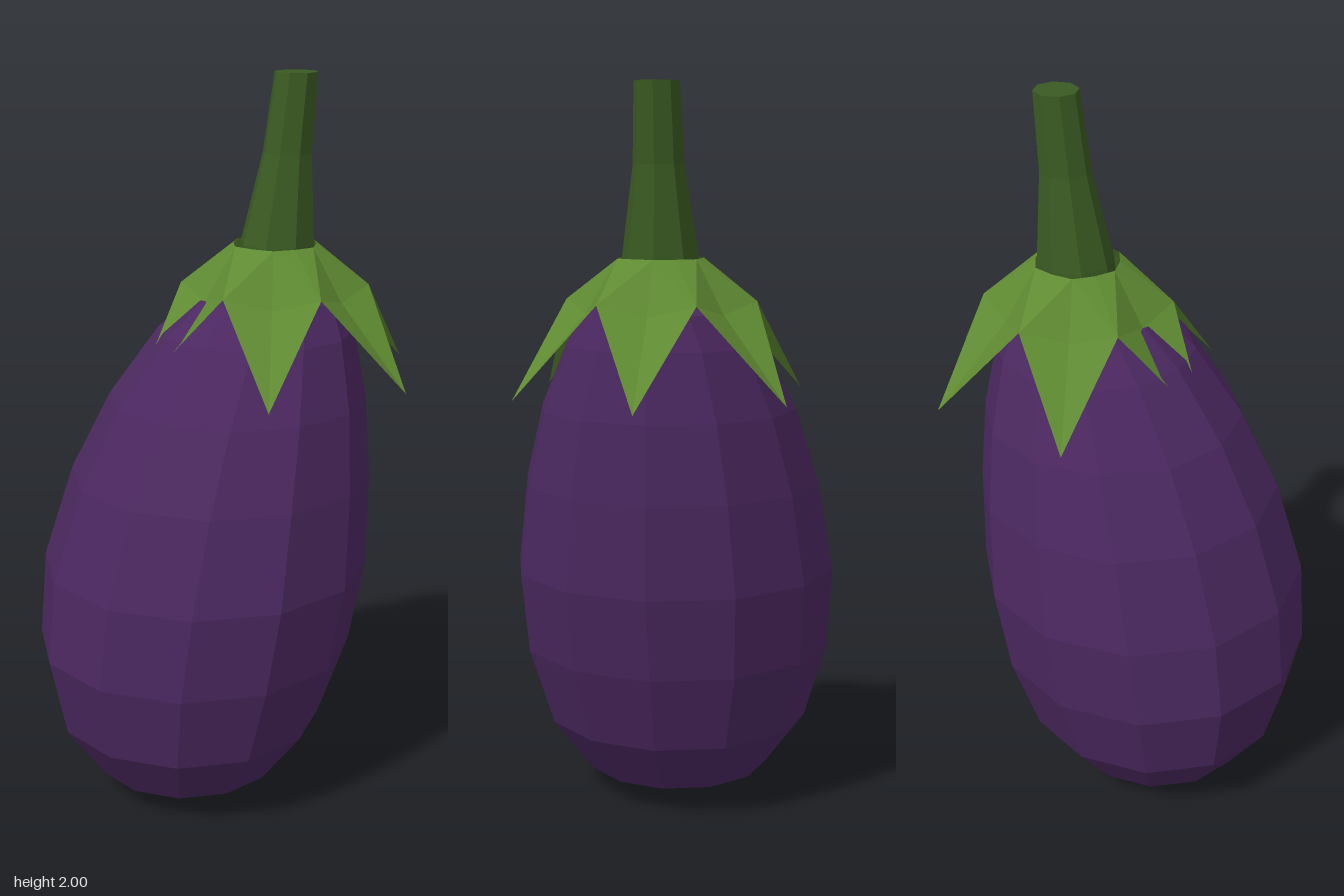
import * as THREE from 'three';

const flat = (color, side = THREE.FrontSide) =>
  new THREE.MeshStandardMaterial({ color, flatShading: true, side });

// Lathe through rings of [height, radius, x offset], leaning each ring sideways
function leaningLathe(rings, sides) {
  const geo = new THREE.LatheGeometry(rings.map(([y, r]) => new THREE.Vector2(r, y)), sides);
  const pos = geo.attributes.position;
  for (let i = 0; i < pos.count; i++) {
    pos.setX(i, pos.getX(i) + rings[i % rings.length][2]);
  }
  return geo;
}

// Six-pointed leafy cap: each leaf is creased inward along its middle
function calyxGeometry(leaves, cx) {
  const verts = [];
  const at = (angle, r, y) => [cx + r * Math.cos(angle), y, r * Math.sin(angle)];
  const tri = (a, b, c) => verts.push(...a, ...b, ...c);
  const half = Math.PI / leaves;
  for (let i = 0; i < leaves; i++) {
    const a = i * 2 * half;
    const top = at(a, 0.12, 1.55), rib = at(a, 0.21, 1.41), tip = at(a, 0.41, 1.19);
    for (const s of [-1, 1]) {
      const rim = at(a + s * half, 0.112, 1.55);
      const valley = at(a + s * half, 0.255, 1.44);
      const faces = [[top, rim, valley], [top, valley, rib], [rib, valley, tip]];
      for (const [p, q, r] of faces) s < 0 ? tri(p, q, r) : tri(p, r, q);
    }
  }
  const geo = new THREE.BufferGeometry();
  geo.setAttribute('position', new THREE.Float32BufferAttribute(verts, 3));
  // Wind outward: the loop above runs clockwise seen from above for s < 0
  for (let i = 0; i < verts.length; i += 9) {
    const p = [0, 3, 6].map(k => new THREE.Vector3(...verts.slice(i + k, i + k + 3)));
    const n = p[1].clone().sub(p[0]).cross(p[2].clone().sub(p[0]));
    if (n.y < 0) {
      geo.attributes.position.setXYZ(i / 3 + 1, ...p[2].toArray());
      geo.attributes.position.setXYZ(i / 3 + 2, ...p[1].toArray());
    }
  }
  geo.computeVertexNormals();
  return geo;
}

export function createModel() {
  const group = new THREE.Group();
  const add = (name, geo, mat) => {
    const mesh = new THREE.Mesh(geo, mat);
    mesh.name = name;
    group.add(mesh);
  };

  // Plump fruit, leaning towards the stem
  add('fruit', leaningLathe([
    [0, 0, -0.14], [0.075, 0.257, -0.14], [0.23, 0.372, -0.133], [0.45, 0.436, -0.115],
    [0.68, 0.45, -0.08], [0.93, 0.412, -0.032], [1.14, 0.352, 0.022],
    [1.32, 0.268, 0.078], [1.41, 0.2, 0.115], [1.42, 0, 0.12],
  ], 12), flat(0x4b2860));

  // Leafy cap
  add('calyx', calyxGeometry(6, 0.135), flat(0x5f8a32, THREE.DoubleSide));

  // Tapered, slightly bent stem with a closed top
  add('stem', leaningLathe([
    [1.42, 0.112, 0.135], [1.55, 0.103, 0.142], [1.79, 0.068, 0.17], [2, 0.06, 0.195], [2, 0, 0.195],
  ], 8), flat(0x3a5a22));

  return group;
}
